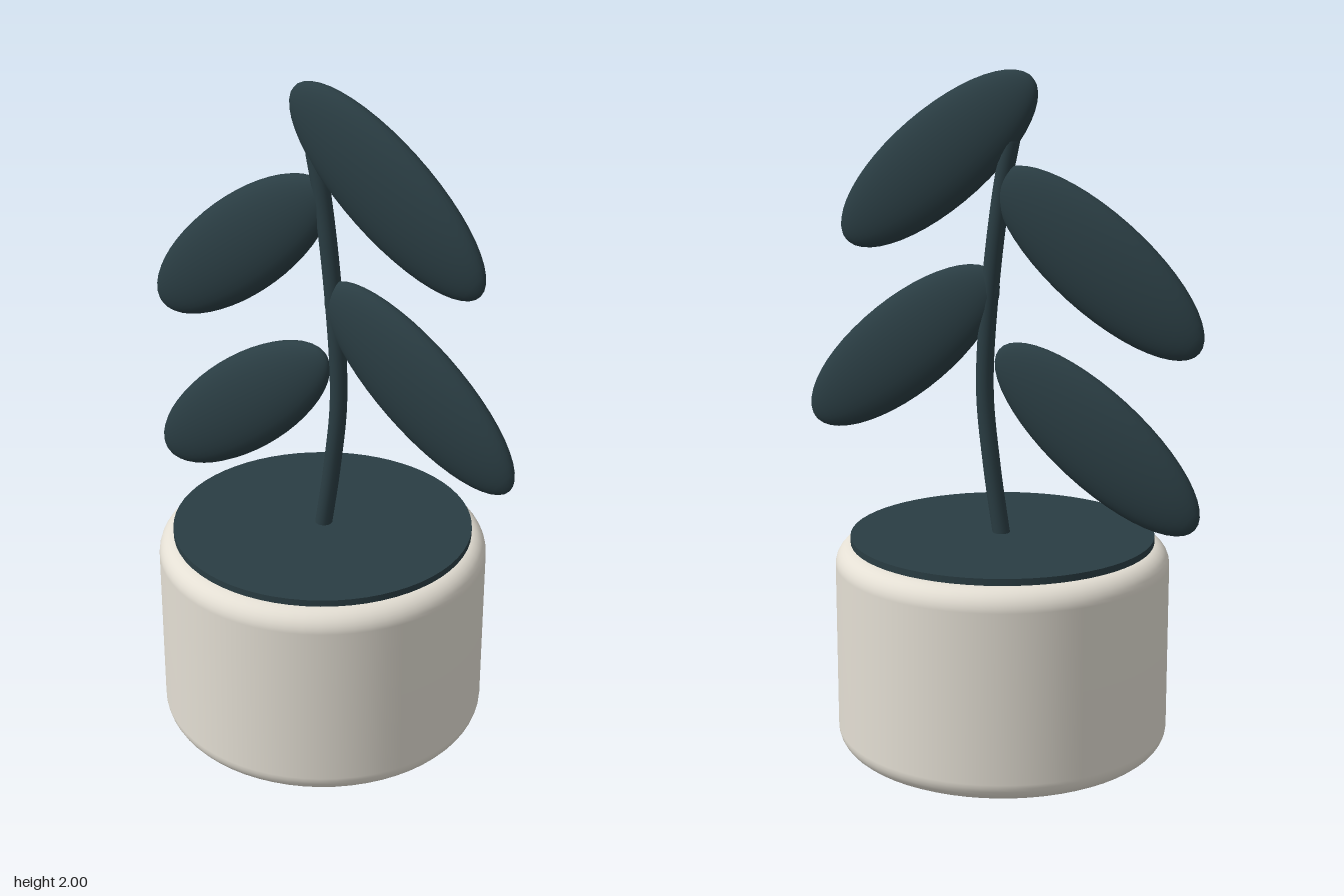
import * as THREE from 'three';

const potX = -0.02;
const green = new THREE.MeshStandardMaterial({ color: 0x2a3d43 });
const cream = new THREE.MeshStandardMaterial({ color: 0xe4dfd4 });

function addMesh(parent, name, geometry, material, x = 0, y = 0) {
  const mesh = new THREE.Mesh(geometry, material);
  mesh.name = name;
  mesh.position.set(x, y, 0);
  parent.add(mesh);
  return mesh;
}

// Solid pot with rounded top and bottom edges
function potGeometry(radius, height, round) {
  const points = [new THREE.Vector2(0, 0)];
  const arc = (cy, start) => {
    for (let i = 0; i <= 8; i++) {
      const a = start + (i / 8) * Math.PI / 2;
      points.push(new THREE.Vector2(radius - round + Math.cos(a) * round, cy + Math.sin(a) * round));
    }
  };
  arc(round, -Math.PI / 2);
  arc(height - round, 0);
  points.push(new THREE.Vector2(0, height));
  return new THREE.LatheGeometry(points, 64);
}

export function createModel() {
  const model = new THREE.Group();
  model.name = 'pottedPlant';

  addMesh(model, 'pot', potGeometry(0.497, 0.622, 0.06), cream, potX);
  addMesh(model, 'soil', new THREE.CylinderGeometry(0.452, 0.452, 0.02, 64), green, potX, 0.637);

  // Gently curved stem, closed at both ends
  const path = new THREE.CatmullRomCurve3(
    [[-0.02, 0.62], [0.015, 0.85], [0.037, 1.08], [0.017, 1.4], [-0.02, 1.68], [-0.045, 1.8]]
      .map(([x, y]) => new THREE.Vector3(x, y, 0)));
  addMesh(model, 'stem', new THREE.TubeGeometry(path, 40, 0.026, 16), green);
  addMesh(model, 'stemTip', new THREE.SphereGeometry(0.026, 16, 12), green, -0.045, 1.8);

  // Flattened oval leaves, drooping alternately to each side
  const leafGeometry = new THREE.SphereGeometry(1, 32, 24);
  leafGeometry.rotateZ(Math.PI / 2);
  leafGeometry.scale(0.386, 0.144, 0.062);
  const leaves = [
    ['lowerRightLeaf', -0.313, 0.962, 1],
    ['lowerLeftLeaf', 0.307, 1.182, -1],
    ['upperRightLeaf', -0.313, 1.471, 1],
    ['upperLeftLeaf', 0.19, 1.738, -1],
  ];
  for (const [name, x, y, tilt] of leaves) {
    addMesh(model, name, leafGeometry, green, x, y).rotation.z = tilt * 0.661;
  }
  return model;
}
